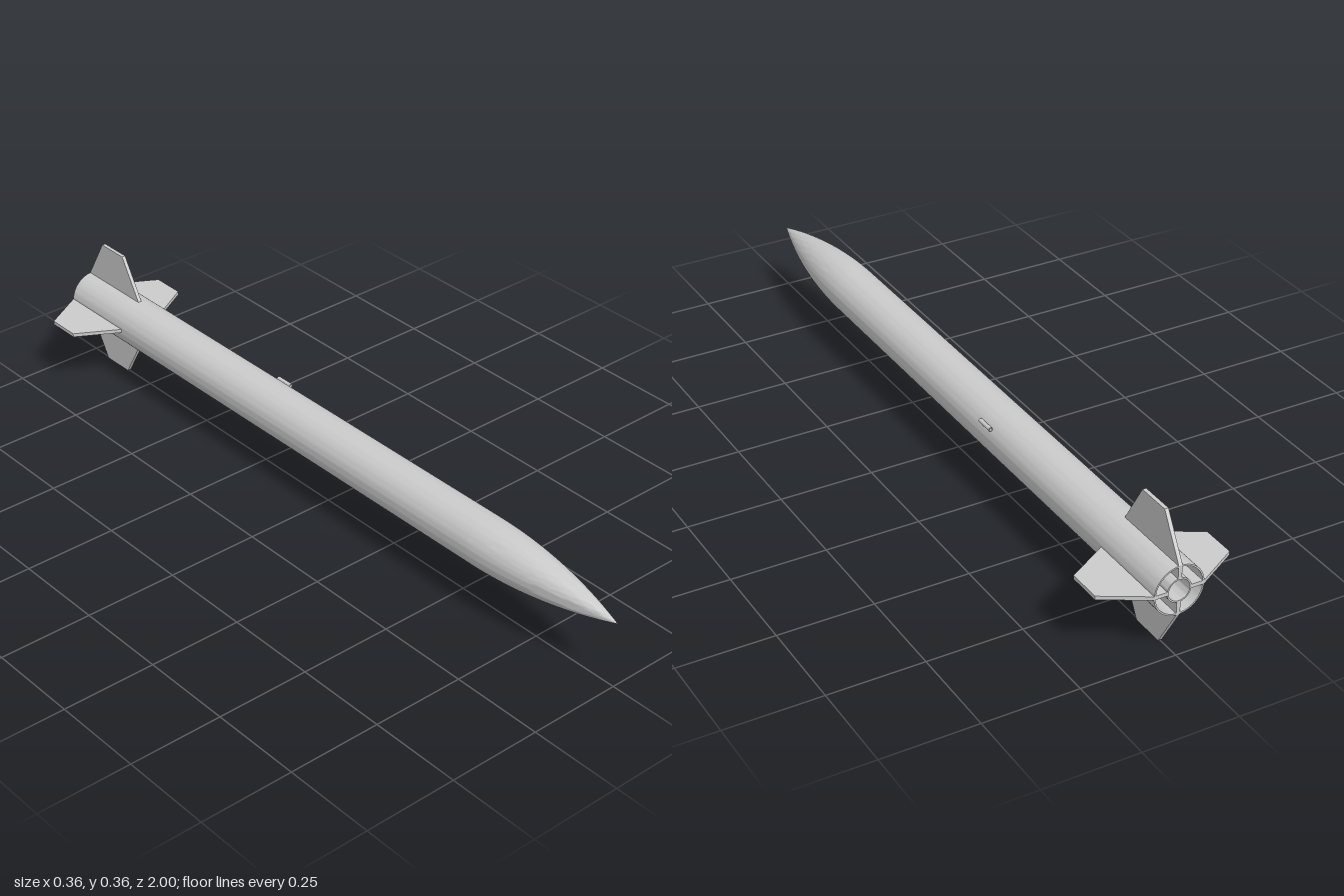
import * as THREE from 'three';
import { toCreasedNormals } from 'three/addons/utils/BufferGeometryUtils.js';

const R = 0.066;        // body radius
const AXIS_Y = 0.178;   // height of the long axis, equal to the fin span
const material = new THREE.MeshStandardMaterial({ color: 0xcccccc });

function part(name, geometry) {
  const mesh = new THREE.Mesh(geometry, material);
  mesh.name = name;
  return mesh;
}

// Solid of revolution around local y, from [radius, y] pairs
function turned(profile, sides = 64) {
  const points = profile.map(([r, y]) => new THREE.Vector2(r, y));
  return toCreasedNormals(new THREE.LatheGeometry(points, sides), 0.5);
}

// Hollow tube with wall thickness, closed at both rims
function tube(outer, inner, y0, y1, sides) {
  return turned([[outer, y0], [outer, y1], [inner, y1], [inner, y0], [outer, y0]], sides);
}

export function createModel() {
  const model = new THREE.Group();
  model.name = 'rocket';

  // The rocket is built standing along local y, then laid down with its nose to +z
  const rocket = new THREE.Group();
  rocket.name = 'airframe';
  rocket.rotation.x = Math.PI / 2;
  rocket.position.y = AXIS_Y;
  model.add(rocket);

  rocket.add(part('bodyTube', tube(R, 0.062, -1, 0.57)));

  // Tangent ogive nose with a shoulder plugged into the body
  const noseBase = 0.57, length = 1 - noseBase;
  const rho = (R * R + length * length) / (2 * R);
  const nose = [[0, 0.48], [0.0615, 0.48], [0.0615, noseBase], [R, noseBase]];
  for (let i = 1; i <= 24; i++) {
    const h = (length * i) / 24;
    nose.push([Math.max(0, Math.sqrt(rho * rho - h * h) + R - rho), noseBase + h]);
  }
  rocket.add(part('noseCone', turned(nose)));

  // Motor mount inside the tail
  rocket.add(part('motorTube', tube(0.032, 0.028, -1, -0.7, 48)));
  rocket.add(part('motorBulkhead', new THREE.CylinderGeometry(0.029, 0.029, 0.01, 48).translate(0, -0.705, 0)));
  rocket.add(part('centeringRing', tube(0.063, 0.031, -0.78, -0.77)));

  // Four fins whose tabs pass through the body wall to the motor tube
  const outline = new THREE.Shape([
    [0.031, -1], [R, -1], [AXIS_Y, -0.935], [AXIS_Y, -0.845], [R, -0.78], [0.031, -0.78],
  ].map(([x, y]) => new THREE.Vector2(x, y)));
  const finGeometry = new THREE.ExtrudeGeometry(outline, { depth: 0.01, bevelEnabled: false });
  finGeometry.translate(0, 0, -0.005);
  for (let i = 0; i < 4; i++) {
    const fin = part('fin', finGeometry);
    fin.rotation.y = (i * Math.PI) / 2;
    rocket.add(fin);
  }

  // Small launch lug on the upper left flank
  const lug = part('launchLug', tube(0.0055, 0.004, -0.268, -0.218, 24));
  lug.position.set(0.061, 0, -0.037);
  rocket.add(lug);

  return model;
}
